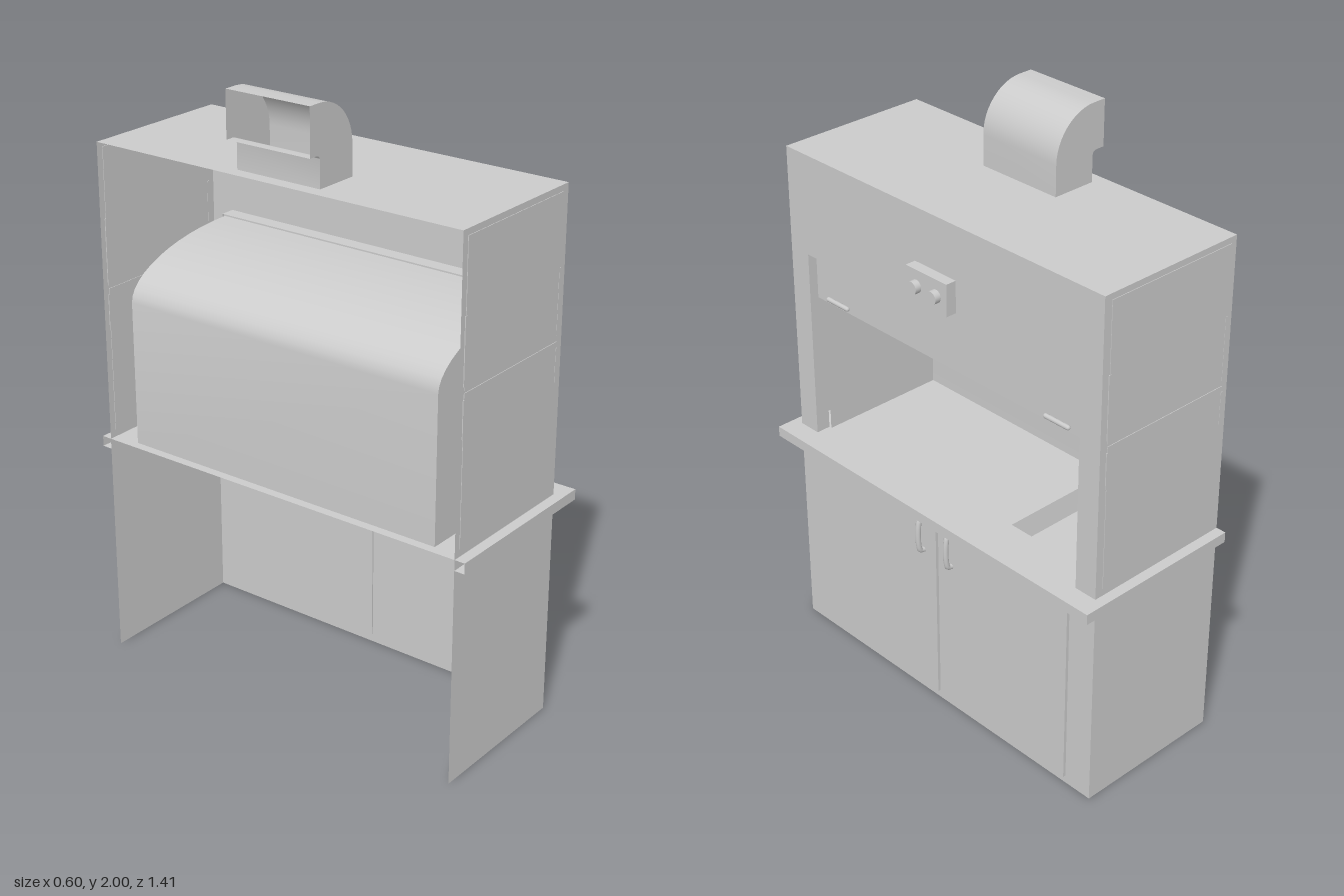
import * as THREE from 'three';
import { toCreasedNormals } from 'three/addons/utils/BufferGeometryUtils.js';

const mat = new THREE.MeshStandardMaterial({ color: 0xcccccc, side: THREE.DoubleSide });
const v = (x, y, z) => new THREE.Vector3(x, y, z);

function add(parent, name, geometry, x = 0, y = 0, z = 0) {
  const mesh = new THREE.Mesh(geometry, mat);
  mesh.name = name;
  mesh.position.set(x, y, z);
  parent.add(mesh);
  return mesh;
}

// Box given by its limits on each axis
function box(parent, name, [x0, x1], [y0, y1], [z0, z1]) {
  return add(parent, name, new THREE.BoxGeometry(x1 - x0, y1 - y0, z1 - z0),
    (x0 + x1) / 2, (y0 + y1) / 2, (z0 + z1) / 2);
}

// Thin sheet stretched between two paths with equal point counts
function ribbon(a, b) {
  const pos = [], index = [];
  a.forEach((p, i) => {
    pos.push(...p.toArray(), ...b[i].toArray());
    if (i) { const k = 2 * i; index.push(k - 2, k - 1, k, k - 1, k + 1, k); }
  });
  const g = new THREE.BufferGeometry();
  g.setAttribute('position', new THREE.Float32BufferAttribute(pos, 3));
  g.setIndex(index);
  return toCreasedNormals(g, 0.6);
}

// Sheet swept across z from a profile in x and y
const sweepZ = (pts, h) => ribbon(pts.map(p => v(p.x, p.y, h)), pts.map(p => v(p.x, p.y, -h)));

function rect(x0, y0, x1, y1, Type = THREE.Shape) {
  const s = new Type();
  s.moveTo(x0, y0).lineTo(x1, y0).lineTo(x1, y1).lineTo(x0, y1).closePath();
  return s;
}

const arc = (cx, cy, rx, ry, a0, a1) =>
  new THREE.EllipseCurve(cx, cy, rx, ry, a0, a1, a1 < a0).getPoints(12);

const BACK = -0.3, FRONT = 0.23, HALF = 0.67, TOP = 1.75, COUNTER = 0.76;

export function createModel() {
  const group = new THREE.Group();
  group.name = 'fumeHood';

  // Outer shell, open at the back and underneath
  const front = rect(-HALF, 0, HALF, TOP);
  front.holes.push(rect(-0.59, COUNTER, 0.59, 1.41, THREE.Path));
  add(group, 'frontPanel', new THREE.ShapeGeometry(front).rotateY(Math.PI / 2), FRONT);
  add(group, 'roof', new THREE.PlaneGeometry(FRONT - BACK, 2 * HALF).rotateX(-Math.PI / 2),
    (BACK + FRONT) / 2, TOP);
  for (const s of [1, -1]) {
    const wall = add(group, 'sideWall', new THREE.PlaneGeometry(FRONT - BACK, TOP),
      (BACK + FRONT) / 2, TOP / 2, s * HALF);
    if (s < 0) wall.rotation.y = Math.PI;
    const zs = [s * HALF - 0.002, s * HALF + 0.002];
    const slot = [s * HALF - 0.003, s * HALF + 0.003];
    // Access panels with finger slots
    box(group, 'upperSidePanel', [-0.277, 0.202], [1.278, 1.73], zs);
    box(group, 'lowerSidePanel', [-0.277, 0.202], [0.785, 1.27], zs);
    for (const x of [-0.277, 0.202]) {
      box(group, 'upperSideSlot', [x - 0.004, x + 0.004], [1.29, 1.5], slot);
      box(group, 'lowerSideSlot', [x - 0.004, x + 0.004], [1.13, 1.25], slot);
    }
  }

  // Reveal around the work opening
  const jamb = x => [v(x, COUNTER, 0.59), v(x, 1.41, 0.59), v(x, 1.41, -0.59), v(x, COUNTER, -0.59)];
  add(group, 'openingReveal', ribbon(jamb(FRONT), jamb(0.18)));

  // Work chamber with an arched ceiling
  const profile = [new THREE.Vector2(-0.27, COUNTER),
    ...arc(0.18, 1.24, 0.45, 0.165, Math.PI, Math.PI / 2)];
  add(group, 'chamberLining', sweepZ(profile, 0.58));
  const wallShape = new THREE.Shape([...profile, new THREE.Vector2(0.18, COUNTER)]);
  for (const z of [0.58, -0.58]) add(group, 'chamberSide', new THREE.ShapeGeometry(wallShape), 0, 0, z);

  // Raised sash and its pulls
  box(group, 'sash', [0.185, 0.2], [1.25, 1.41], [-0.588, 0.588]);
  for (const z of [0.48, -0.48]) {
    const pull = new THREE.CapsuleGeometry(0.008, 0.088, 4, 10).rotateX(Math.PI / 2);
    add(group, 'sashPull', pull, 0.209, 1.27, z);
  }

  // Countertop: top with sink cutout, edge on three sides, overhang underside
  const top = rect(BACK, -0.705, 0.3, 0.705);
  top.holes.push(rect(-0.18, 0.23, 0.14, 0.46, THREE.Path));
  add(group, 'countertop', new THREE.ShapeGeometry(top).rotateX(-Math.PI / 2), 0, COUNTER);
  const rim = (x, z, y) => [v(BACK, y, z), v(x, y, z), v(x, y, -z), v(BACK, y, -z)];
  add(group, 'countertopEdge', ribbon(rim(0.3, 0.705, COUNTER), rim(0.3, 0.705, 0.725)));
  add(group, 'countertopUnderside', ribbon(rim(0.3, 0.705, 0.725), rim(FRONT, HALF, 0.725)));

  // Sink basin with tapered walls
  const loop = (i, y) => [v(-0.18 + i, y, -0.46 + i), v(0.14 - i, y, -0.46 + i),
    v(0.14 - i, y, -0.23 - i), v(-0.18 + i, y, -0.23 - i), v(-0.18 + i, y, -0.46 + i)];
  add(group, 'sinkWalls', ribbon(loop(0, COUNTER), loop(0.015, 0.69)));
  add(group, 'sinkFloor', new THREE.PlaneGeometry(0.29, 0.2).rotateX(-Math.PI / 2), -0.02, 0.69, -0.345);

  // Cupboard doors with bow handles
  for (const s of [1, -1]) {
    box(group, 'door', [0.225, 0.24], [0.028, 0.72], s > 0 ? [0.007, 0.573] : [-0.568, -0.007]);
    const path = new THREE.CatmullRomCurve3([v(0.238, 0.692, 0), v(0.254, 0.688, 0), v(0.261, 0.665, 0),
      v(0.261, 0.595, 0), v(0.254, 0.572, 0), v(0.238, 0.568, 0)]);
    add(group, 'doorHandle', new THREE.TubeGeometry(path, 24, 0.009, 10), 0, 0, s * 0.064);
  }

  // Control box with two knobs
  box(group, 'controlBox', [FRONT, 0.266], [1.47, 1.575], [-0.087, 0.087]);
  for (const z of [0.042, -0.042]) {
    const knob = new THREE.CylinderGeometry(0.021, 0.021, 0.022, 24).rotateZ(-Math.PI / 2);
    add(group, 'knob', knob, 0.276, 1.522, z);
  }

  // Exhaust elbow, open towards the back
  const p2 = (x, y) => new THREE.Vector2(x, y);
  const outer = [p2(-0.105, TOP), ...arc(-0.255, 1.85, 0.15, 0.15, 0, Math.PI / 2), p2(BACK, 2)];
  const inner = [p2(BACK, 1.85), ...arc(-0.27, 1.835, 0.015, 0.015, Math.PI / 2, 0), p2(-0.255, TOP)];
  add(group, 'ductOuterBend', sweepZ(outer, 0.152));
  add(group, 'ductInnerBend', sweepZ(inner, 0.152));
  const cheek = new THREE.Shape([...outer, ...inner]);
  for (const z of [0.152, -0.152]) add(group, 'ductSide', new THREE.ShapeGeometry(cheek), 0, 0, z);

  return group;
}
